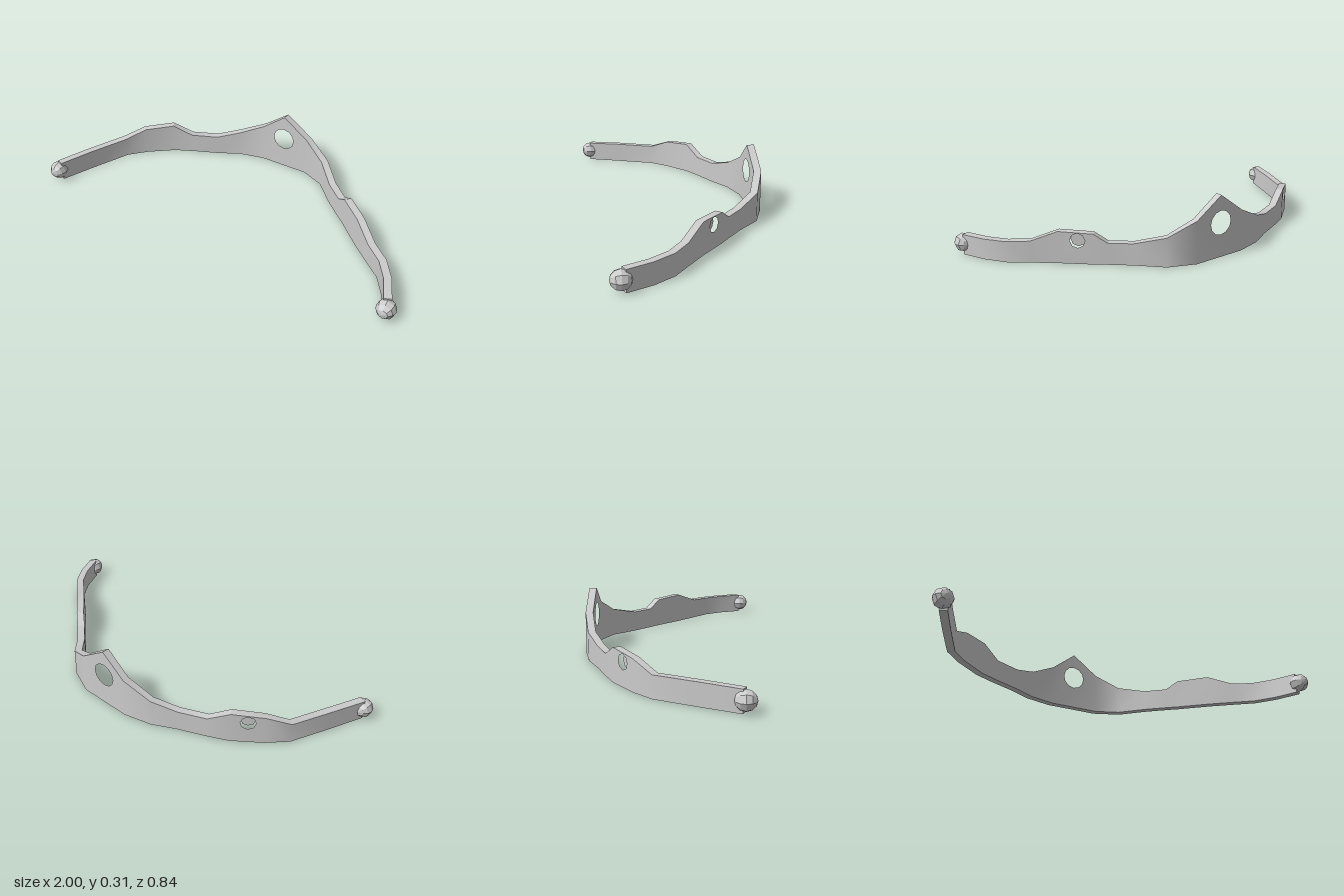
import * as THREE from 'three';
import { mergeVertices, toCreasedNormals } from 'three/addons/utils/BufferGeometryUtils.js';

const HALF = 0.0185; // half thickness of the band
const BASE = 0.003;

// Stations along the band: x, z, top height
const stations = [
  [-0.945, 0.35, 0.105], [-0.875, 0.18, 0.108], [-0.79, -0.015, 0.108], [-0.71, -0.10, 0.152],
  [-0.585, -0.198, 0.165], [-0.49, -0.245, 0.11], [-0.36, -0.302, 0.11], [-0.245, -0.363, 0.145],
  [-0.11, -0.397, 0.212], [0.16, -0.397, 0.215], [0.285, -0.345, 0.147], [0.39, -0.235, 0.11],
  [0.48, -0.155, 0.11], [0.53, -0.113, 0.153], [0.65, 0.0, 0.16], [0.75, 0.085, 0.11],
  [0.835, 0.155, 0.106], [0.90, 0.25, 0.105], [0.95, 0.365, 0.104],
];
// Openings by column: position along it, height, radius, recess depth (none = through)
const openings = {
  3: { t: 0.5, y: 0.118, r: 0.036, depth: 0.024 },
  8: { t: 0.48, y: 0.176, r: 0.06 },
  13: { t: 0.45, y: 0.118, r: 0.036, depth: 0.024 },
};
const PEAK = { column: 8, t: 0.48, y: 0.312 };

// Mitred normal at each station, pointing to the inside of the curve
const points = stations.map(([x, z]) => new THREE.Vector2(x, z));
const normals = points.map((p, i) => {
  const side = (a, b) => {
    const d = b.clone().sub(a).normalize();
    return new THREE.Vector2(-d.y, d.x);
  };
  const before = side(points[Math.max(i - 1, 0)], points[Math.max(i, 1)]);
  const last = points.length - 1;
  const after = side(points[Math.min(i, last - 1)], points[Math.min(i + 1, last)]);
  const n = before.clone().add(after).normalize();
  return n.divideScalar(n.dot(after));
});

function buildBand() {
  const out = [];
  points.slice(0, -1).forEach((a, i) => {
    const b = points[i + 1];
    const length = a.distanceTo(b);
    // Place a point of the flat column (s along, y up, d inward) on the curve
    const place = (s, y, d) => {
      const t = s / length;
      const p = a.clone().lerp(b, t).addScaledVector(normals[i].clone().lerp(normals[i + 1], t), d);
      out.push(p.x, y, p.y);
    };
    const quad = (p, q, d0, d1) => {
      place(p.x, p.y, d0); place(p.x, p.y, d1); place(q.x, q.y, d1);
      place(p.x, p.y, d0); place(q.x, q.y, d1); place(q.x, q.y, d0);
    };
    const face = (outline, holes, d, flip) => {
      const all = [...outline, ...holes.flat()];
      for (const tri of THREE.ShapeUtils.triangulateShape(outline, holes)) {
        for (const k of flip ? [tri[0], tri[2], tri[1]] : tri) place(all[k].x, all[k].y, d);
      }
    };
    const v = (x, y) => new THREE.Vector2(x, y);
    const top = [v(0, stations[i][2]), v(length, stations[i + 1][2])];
    if (i === PEAK.column) top.splice(1, 0, v(length * PEAK.t, PEAK.y));
    const foot = [v(0, BASE), v(length, BASE)];
    const outline = [...foot, ...top.slice().reverse()];

    const hole = openings[i];
    const ring = [];
    const sides = hole && hole.depth ? 8 : 12;
    for (let k = 0; hole && k < sides; k++) {
      const angle = -k * Math.PI * 2 / sides; // clockwise
      ring.push(v(length * hole.t + hole.r * Math.cos(angle), hole.y + hole.r * Math.sin(angle)));
    }
    const through = hole && !hole.depth;
    face(outline, through ? [ring] : [], HALF, false);
    face(outline, hole ? [ring] : [], -HALF, true);

    // Top and bottom edges
    for (let k = 0; k + 1 < top.length; k++) quad(top[k], top[k + 1], -HALF, HALF);
    quad(foot[1], foot[0], -HALF, HALF);

    // Wall of the opening, and the floor of a recess
    if (hole) {
      const end = through ? HALF : -HALF + hole.depth;
      ring.forEach((p, k) => quad(ring[(k + 1) % sides], p, end, -HALF));
      if (!through) face(ring.slice().reverse(), [], end, true);
    }
    // End caps
    if (i === 0) quad(foot[0], top[0], -HALF, HALF);
    if (i === points.length - 2) quad(top[top.length - 1], foot[1], -HALF, HALF);
  });
  const g = new THREE.BufferGeometry();
  g.setAttribute('position', new THREE.Float32BufferAttribute(out, 3));
  return toCreasedNormals(mergeVertices(g, 1e-5), 0.5);
}

export function createModel() {
  const group = new THREE.Group();
  const material = new THREE.MeshStandardMaterial({ color: 0xcccccc });

  const band = new THREE.Mesh(buildBand(), material);
  band.name = 'band';
  group.add(band);

  // Faceted knobs on both tips
  const knobMaterial = new THREE.MeshStandardMaterial({ color: 0xcccccc, flatShading: true });
  const knobGeometry = new THREE.SphereGeometry(0.047, 8, 6);
  for (const [name, x, z] of [['rightKnob', -0.952, 0.355], ['leftKnob', 0.953, 0.377]]) {
    const knob = new THREE.Mesh(knobGeometry, knobMaterial);
    knob.name = name;
    knob.position.set(x, 0.056, z);
    knob.rotation.set(Math.PI / 2, 0, 0);
    group.add(knob);
  }
  return group;
}
